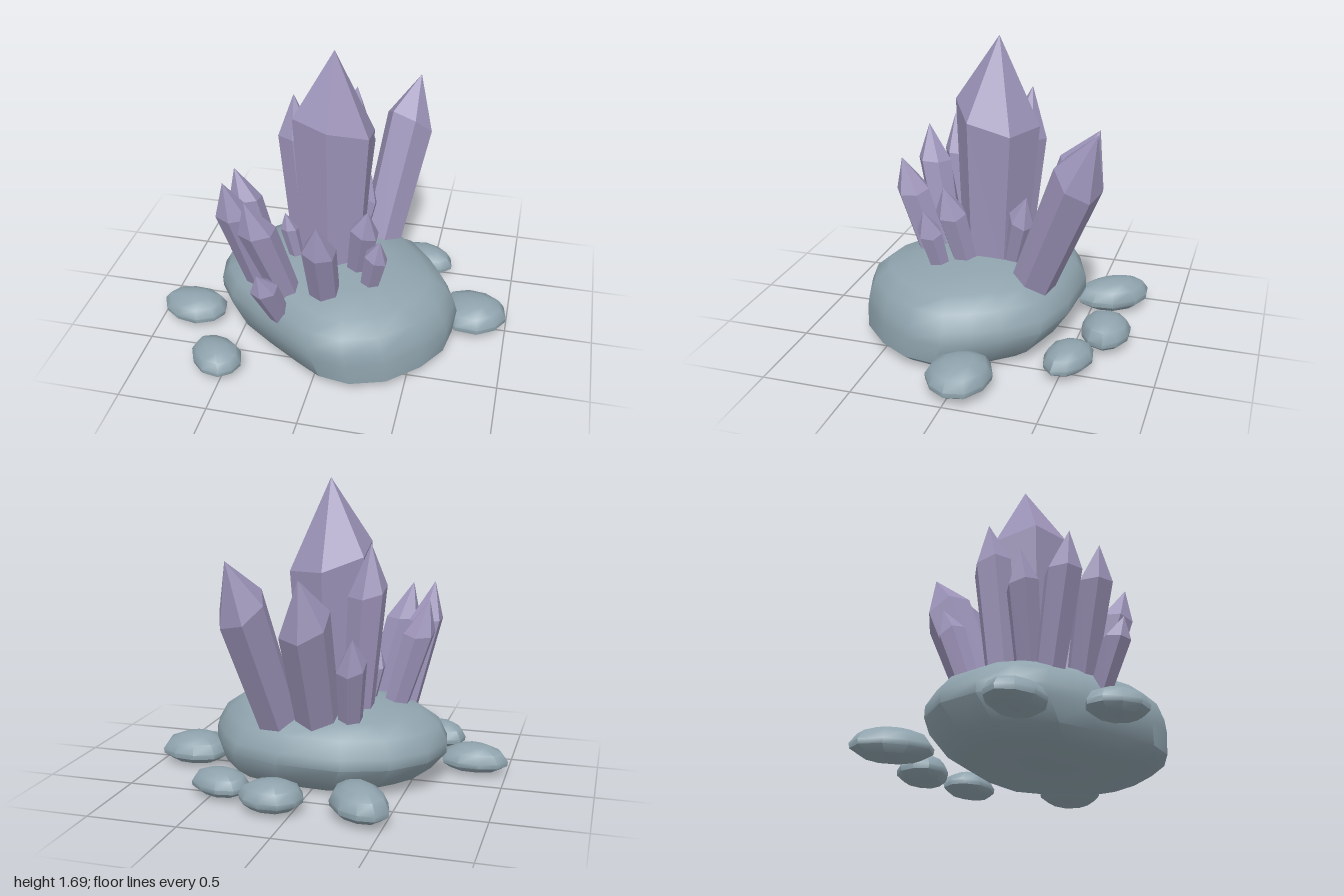
import * as THREE from 'three';
import { toCreasedNormals, mergeVertices } from 'three/addons/utils/BufferGeometryUtils.js';

const rockMat = new THREE.MeshStandardMaterial({ color: 0x8fa3ad });
const crystalMat = new THREE.MeshStandardMaterial({ color: 0x9c93b8, flatShading: true });

// Stacks scaled copies of an outline [x, z]; levels are [scale, y, dx, dz]
function stone(outline, levels) {
  const n = outline.length, pos = [], idx = [];
  for (const [s, y, dx = 0, dz = 0] of levels)
    for (const [x, z] of outline) pos.push(x * s + dx, y, z * s + dz);
  for (let j = 0; j < levels.length - 1; j++)
    for (let i = 0; i < n; i++) {
      const a = j * n + i, b = j * n + (i + 1) % n;
      idx.push(a, a + n, b, b, a + n, b + n);
    }
  // Caps
  const lo = levels[0], hi = levels[levels.length - 1];
  const c = pos.length / 3, top = (levels.length - 1) * n;
  pos.push(lo[2] || 0, lo[1], lo[3] || 0, hi[2] || 0, hi[1] + 0.01, hi[3] || 0);
  for (let i = 0; i < n; i++) {
    const k = (i + 1) % n;
    idx.push(c, i, k, c + 1, top + k, top + i);
  }
  const g = new THREE.BufferGeometry();
  g.setAttribute('position', new THREE.Float32BufferAttribute(pos, 3));
  g.setIndex(idx);
  return toCreasedNormals(mergeVertices(g), 0.75);
}

// Six-sided prism with a pointed end, widening from the base to the shoulder
function crystal(name, base, tip, r, shoulder = 0.7, taper = 0.78, turn = 0) {
  const a = new THREE.Vector3(...base), dir = new THREE.Vector3(...tip).sub(a);
  const len = dir.length(), h = len * shoulder, sink = 0.04;
  const profile = [[0, -sink], [r * taper, -sink], [r, h], [0, len]]
    .map(([x, y]) => new THREE.Vector2(x, y));
  const g = new THREE.LatheGeometry(profile, 6);
  g.rotateY(turn);
  // Tilt the shoulder line a little so the facets differ
  const p = g.attributes.position;
  for (let i = 0; i < p.count; i++)
    if (Math.abs(p.getY(i) - h) < 1e-4)
      p.setY(i, h + 0.25 * p.getZ(i) - 0.2 * p.getX(i));
  const mesh = new THREE.Mesh(g, crystalMat);
  mesh.name = name;
  mesh.position.copy(a);
  mesh.quaternion.setFromUnitVectors(new THREE.Vector3(0, 1, 0), dir.normalize());
  return mesh;
}

export function createModel() {
  const model = new THREE.Group();

  // Base boulder
  const cx = 0.02, cz = 0.1;
  const outline = [
    [0.72, 0.1], [0.69, 0.3], [0.58, 0.48], [0.4, 0.65], [0.19, 0.72], [0, 0.69],
    [-0.15, 0.6], [-0.36, 0.46], [-0.55, 0.32], [-0.66, 0.16], [-0.69, 0], [-0.62, -0.22],
    [-0.45, -0.39], [-0.2, -0.48], [0.15, -0.46], [0.43, -0.37], [0.57, -0.2], [0.66, -0.05],
  ].map(([x, z]) => [x - cx, z - cz]);
  const boulder = new THREE.Mesh(stone(outline, [
    [0.78, 0, 0.06, 0.05], [0.92, 0.06, 0.04, 0.04], [1, 0.18], [0.99, 0.24, -0.01, 0],
    [0.92, 0.33, -0.01, 0.01], [0.77, 0.395, 0, 0.02], [0.45, 0.44, 0.02, 0], [0.15, 0.455, 0, -0.04],
  ]), rockMat);
  boulder.name = 'boulder';
  boulder.position.set(cx, 0, cz);
  model.add(boulder);

  // Crystal cluster: name, base, tip, radius, shoulder, taper, turn
  const crystals = new THREE.Group();
  crystals.name = 'crystals';
  [
    ['mainCrystal', [-0.02, 0.4, 0.03], [-0.02, 1.69, 0.0], 0.24, 0.665, 0.76, 0.05],
    ['backLeftCrystal', [0.2, 0.36, -0.26], [0.36, 1.3, -0.63], 0.145, 0.72, 0.85, 0.3],
    ['backCrystal', [-0.02, 0.38, -0.25], [-0.01, 1.21, -0.57], 0.145, 0.7, 0.85],
    ['tallSideCrystal', [-0.2, 0.42, -0.06], [-0.28, 1.35, -0.12], 0.11, 0.72, 0.8],
    ['backRightCrystal', [-0.2, 0.38, -0.24], [-0.25, 0.88, -0.4], 0.085, 0.68],
    ['sideCrystal', [-0.36, 0.37, 0.15], [-0.55, 1.01, 0.17], 0.09, 0.7],
    ['frontRightOuterCrystal', [-0.39, 0.35, 0.27], [-0.53, 1.07, 0.435], 0.1, 0.7],
    ['frontRightInnerCrystal', [-0.21, 0.37, 0.38], [-0.38, 1.04, 0.55], 0.1, 0.7],
    ['frontRightSmallCrystal', [-0.23, 0.32, 0.5], [-0.3, 0.65, 0.645], 0.075, 0.65],
    ['frontCrystal', [0.01, 0.41, 0.39], [0.01, 0.95, 0.575], 0.095, 0.66, 0.9],
    ['frontLeftCrystal', [0.15, 0.43, 0.15], [0.22, 0.875, 0.25], 0.085, 0.66],
    ['frontLeftSmallCrystal', [0.24, 0.42, 0.27], [0.305, 0.755, 0.34], 0.07, 0.62],
    ['leftSmallCrystal', [0.08, 0.43, -0.11], [0.15, 0.84, -0.205], 0.075, 0.65],
    ['rightTinyCrystal', [-0.22, 0.42, 0.1], [-0.28, 0.72, 0.12], 0.05, 0.65],
  ].forEach((c) => crystals.add(crystal(...c)));
  model.add(crystals);

  // Loose pebbles: x, z, half length, half width, height, turn
  const pebbles = new THREE.Group();
  pebbles.name = 'pebbles';
  [
    [-0.35, -0.62, 0.225, 0.145, 0.16, -0.95],
    [0.11, -0.66, 0.175, 0.14, 0.15, 0.1],
    [0.45, -0.525, 0.175, 0.125, 0.13, -0.3],
    [0.8, -0.03, 0.2, 0.175, 0.155, -0.1],
    [-0.81, 0.25, 0.195, 0.14, 0.14, -0.12],
    [-0.55, 0.66, 0.165, 0.13, 0.135, -0.7],
  ].forEach(([x, z, l, w, h, turn], k) => {
    const ring = Array.from({ length: 10 }, (_, i) => {
      const t = (i / 10) * Math.PI * 2, r = 1 + 0.04 * Math.sin(3 * t + k);
      return [l * r * Math.cos(t), w * r * Math.sin(t)];
    });
    const mesh = new THREE.Mesh(stone(ring, [
      [0.72, 0], [0.98, h * 0.22], [1, h * 0.4], [0.82, h * 0.74], [0.45, h * 0.94],
    ]), rockMat);
    mesh.name = 'pebble';
    mesh.position.set(x, 0.022, z);
    mesh.rotation.y = turn;
    pebbles.add(mesh);
  });
  model.add(pebbles);

  return model;
}
